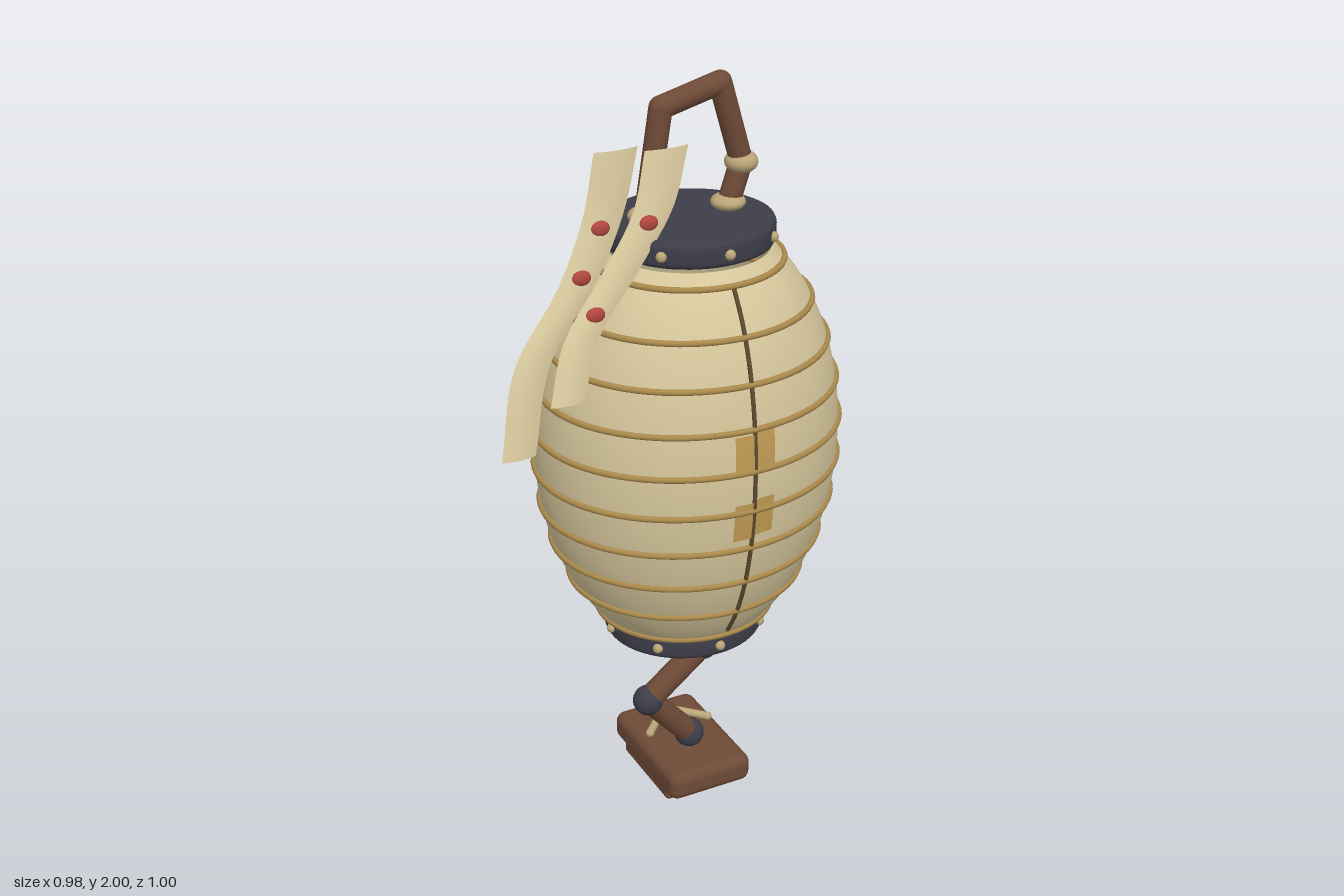
import * as THREE from 'three';
import { RoundedBoxGeometry } from 'three/addons/geometries/RoundedBoxGeometry.js';

const material = (name, color, side = THREE.FrontSide) => {
  const m = new THREE.MeshStandardMaterial({ color, side });
  m.name = name;
  return m;
};

// Lantern centre and its barrel outline
const CX = 0.085, CZ = 0.143, CY = 1.085;
const radiusX = y => 0.39 * Math.sqrt(Math.max(0, 1 - ((y - CY) / 0.588) ** 2));
const radiusZ = r => r * (0.94 - 0.3 * (r - 0.2));

export function createModel() {
  const root = new THREE.Group();
  root.name = 'lanternCreature';
  const paper = material('cream paper', 0xd6c79c, THREE.DoubleSide);
  const bamboo = material('golden bamboo', 0xab8a4c);
  const iron = material('dark slate', 0x3d3d49);
  const ink = material('ink', 0x33333d, THREE.DoubleSide);
  const wood = material('brown wood', 0x6e4a37);
  const red = material('tongue red', 0xb2463f);
  const bone = material('tan cord', 0xb9a577);
  const ochre = material('ochre patch', 0xbf9a52, THREE.DoubleSide);
  const seamBrown = material('seam brown', 0x5e4a2e);
  const v = (x, y, z) => new THREE.Vector3(x, y, z);

  const add = (name, geometry, mat, parent = root) => {
    const mesh = new THREE.Mesh(geometry, mat);
    mesh.name = name;
    parent.add(mesh);
    return mesh;
  };
  const ball = (name, p, r, mat, sx = 1, sy = 1, sz = 1) => {
    const m = add(name, new THREE.SphereGeometry(r, 20, 14), mat);
    m.position.copy(p);
    m.scale.set(sx, sy, sz);
    return m;
  };
  const limb = (name, a, b, r, mat) => {
    const m = add(name, new THREE.CylinderGeometry(r, r, a.distanceTo(b), 18), mat);
    m.position.copy(a).add(b).multiplyScalar(0.5);
    m.quaternion.setFromUnitVectors(v(0, 1, 0), b.clone().sub(a).normalize());
    return m;
  };
  // Moves every vertex by a rule
  const reshape = (geometry, rule) => {
    const p = geometry.attributes.position;
    for (let i = 0; i < p.count; i++) {
      const q = rule(p.getX(i), p.getY(i), p.getZ(i));
      p.setXYZ(i, q.x, q.y, q.z);
    }
    geometry.computeVertexNormals();
    return geometry;
  };
  // Point on the lantern wall: s = 1 front, s = -1 back
  const onWall = (x, y, s, lift = 0.004) => {
    const r = radiusX(y);
    const w = radiusZ(r) * Math.sqrt(Math.max(0, 1 - (x / r) ** 2));
    return v(CX + x, y, CZ + s * (w + lift));
  };

  // Paper barrel
  const profile = [];
  for (let i = 0; i <= 40; i++) {
    const y = 0.59 + (i / 40) * 1.0;
    profile.push(new THREE.Vector2(radiusX(y), y));
  }
  const body = new THREE.LatheGeometry(profile, 80);
  const bp = body.attributes.position;
  for (let i = 0; i < bp.count; i++) {
    const r = radiusX(bp.getY(i));
    bp.setXYZ(i, bp.getX(i) + CX, bp.getY(i), bp.getZ(i) * radiusZ(r) / r + CZ);
  }
  body.computeVertexNormals();
  add('paperBody', body, paper);

  // Bamboo hoops
  for (let i = 0; i < 10; i++) {
    const y = 0.61 + i * 0.1055, r = radiusX(y) + 0.002;
    const g = new THREE.TorusGeometry(r, 0.008, 8, 72).rotateX(Math.PI / 2);
    g.scale(1, 1, radiusZ(r) / r);
    add('hoop', g, bamboo).position.set(CX, y, CZ);
  }

  // End caps with studs
  for (const [name, y] of [['topCap', 1.63], ['bottomCap', 0.567]]) {
    const pts = [[0, -0.033], [0.195, -0.033], [0.205, -0.028], [0.21, -0.018],
      [0.21, 0.018], [0.205, 0.028], [0.195, 0.033], [0, 0.033]].map(p => new THREE.Vector2(...p));
    const cap = add(name, new THREE.LatheGeometry(pts, 56), iron);
    cap.position.set(CX, y, CZ);
    cap.scale.z = 0.94;
    for (let i = 0; i < 8; i++) {
      const a = i * Math.PI / 4;
      ball('stud', v(CX + 0.21 * Math.sin(a), y, CZ + 0.198 * Math.cos(a)), 0.013, bone);
    }
  }

  // Front seam and paper repairs
  const seam = [];
  for (let i = 0; i <= 16; i++) seam.push(onWall(0, 0.635 + i * 0.0575, 1, 0.001));
  add('frontSeam', new THREE.TubeGeometry(new THREE.CatmullRomCurve3(seam), 40, 0.006, 6), seamBrown);
  for (const y of [1.187, 1.01]) {
    add('repairPatch', reshape(new THREE.PlaneGeometry(0.105, 0.1, 10, 6),
      (px, py) => onWall(px, y + py + 0.005 * Math.sign(px), 1)), ochre);
  }

  // Painted face on the back: brush strokes given as [x, y, width]
  const stroke = (name, pts, mat) => {
    const c = new THREE.CatmullRomCurve3(pts.map(p => v(...p)));
    const g = new THREE.PlaneGeometry(1, 1, 40, 8);
    add(name, reshape(g, (px, py) => {
      const t = px + 0.5, q = c.getPoint(t), d = c.getTangent(t);
      const l = Math.hypot(d.x, d.y) || 1;
      return onWall(q.x - d.y / l * py * q.z, q.y + d.x / l * py * q.z, -1);
    }), mat);
  };
  const spot = (name, x, y, rIn, rx, ry, mat) =>
    add(name, reshape(new THREE.RingGeometry(rIn, 1, 36, 6),
      (px, py) => onWall(x + px * rx, y + py * ry, -1)), mat);
  for (const s of [-1, 1]) {
    spot('eye', s * 0.13, 1.165, 0.45, 0.075, 0.078, ink);
    stroke('brow', [[s * 0.05, 1.2, 0.03], [s * 0.115, 1.245, 0.045],
      [s * 0.175, 1.29, 0.05], [s * 0.21, 1.36, 0.015]], ink);
  }
  stroke('mouth', [[-0.265, 1.06, 0.02], [-0.235, 0.975, 0.06], [-0.16, 0.92, 0.12], [0, 0.925, 0.12],
    [0.16, 0.92, 0.12], [0.235, 0.975, 0.06], [0.265, 1.06, 0.02]], ink);
  spot('nose', 0, 1.1, 0, 0.02, 0.027, ochre);

  // Tongue: flat rounded section swept along a curling path
  const tonguePath = new THREE.CatmullRomCurve3([v(CX, 0.955, -0.14), v(CX, 0.92, -0.185), v(CX, 0.81, -0.315),
    v(CX, 0.705, -0.44), v(CX, 0.693, -0.475), v(CX, 0.725, -0.488), v(CX, 0.8, -0.466)]);
  const tongue = new THREE.CylinderGeometry(1, 1, 1, 24, 48);
  add('tongue', reshape(tongue, (x, y, z) => {
    const t = y + 0.5, q = tonguePath.getPoint(t), d = tonguePath.getTangent(t);
    const soft = n => Math.sign(n) * Math.abs(n) ** 0.5;
    const taper = t > 0.93 ? 1 - 0.2 * ((t - 0.93) / 0.07) ** 2 : 1;
    const side = soft(x) * 0.071 * taper, up = soft(z) * 0.013;
    return v(q.x + side, q.y - d.z * up, q.z + d.y * up);
  }), red);
  red.side = THREE.DoubleSide;

  // Carrying handle
  const handle = [v(-0.035, 1.66, CZ), v(0.005, 1.935, CZ), v(0.16, 1.975, CZ), v(0.222, 1.775, CZ), v(0.185, 1.66, CZ)];
  for (let i = 0; i < 4; i++) {
    limb('handleBar', handle[i], handle[i + 1], 0.028, wood);
    if (i) ball('handleBend', handle[i], 0.028, wood);
  }
  ball('handleCollar', v(-0.033, 1.68, CZ), 0.043, bone, 1, 0.5, 1);
  ball('handleCollar', v(0.189, 1.68, CZ), 0.043, bone, 1, 0.5, 1);
  ball('handleKnot', handle[3], 0.041, bone, 1, 0.7, 1);

  // Trailing paper strips with red seals
  const strips = [
    [[v(-0.12, 1.86, 0.168), v(-0.165, 1.72, 0.195), v(-0.25, 1.58, 0.235), v(-0.39, 1.42, 0.285), v(-0.45, 1.22, 0.333)], [0.3, 0.48]],
    [[v(-0.01, 1.86, 0.207), v(-0.06, 1.73, 0.24), v(-0.17, 1.6, 0.28), v(-0.285, 1.48, 0.325), v(-0.342, 1.35, 0.368)], [0.3, 0.65]],
  ];
  for (const [pts, seals] of strips) {
    const c = new THREE.CatmullRomCurve3(pts);
    add('paperStrip', reshape(new THREE.PlaneGeometry(1, 1, 6, 30), (px, py) => {
      const t = 0.5 - py, q = c.getPoint(t);
      return v(q.x + px * (0.112 - 0.028 * t), q.y, q.z + 0.03 * (0.25 - px * px) - 0.004);
    }), paper);
    for (const t of seals) ball('redSeal', c.getPoint(t), 0.024, red, 1, 0.8, 0.5);
  }

  // Single jointed leg
  const leg = [v(0.09, 0.545, CZ), v(0.143, 0.442, 0.147), v(-0.013, 0.3, 0.133), v(0.125, 0.14, 0.112)];
  for (let i = 0; i < 3; i++) {
    limb('legSegment', leg[i], leg[i + 1], 0.033, wood);
    ball('legJoint', leg[i + 1], 0.041, iron);
  }

  // Wooden sandal, toes toward the face side
  add('sandalSole', new RoundedBoxGeometry(0.245, 0.082, 0.362, 4, 0.028), wood).position.set(0.124, 0.07, 0.073);
  for (const x of [0.035, 0.213]) {
    add('sandalRunner', new RoundedBoxGeometry(0.045, 0.05, 0.26, 3, 0.012), wood).position.set(x, 0.025, 0.07);
  }
  const toe = v(0.124, 0.128, -0.035);
  for (const s of [-1, 1]) {
    const end = v(0.124 + s * 0.09, 0.128, 0.055);
    limb('sandalStrap', toe, end, 0.011, bone);
    ball('strapEnd', end, 0.012, bone);
  }
  ball('strapToe', toe, 0.012, bone);
  limb('toePeg', toe, v(0.124, 0.1, -0.035), 0.01, bone);

  return root;
}
